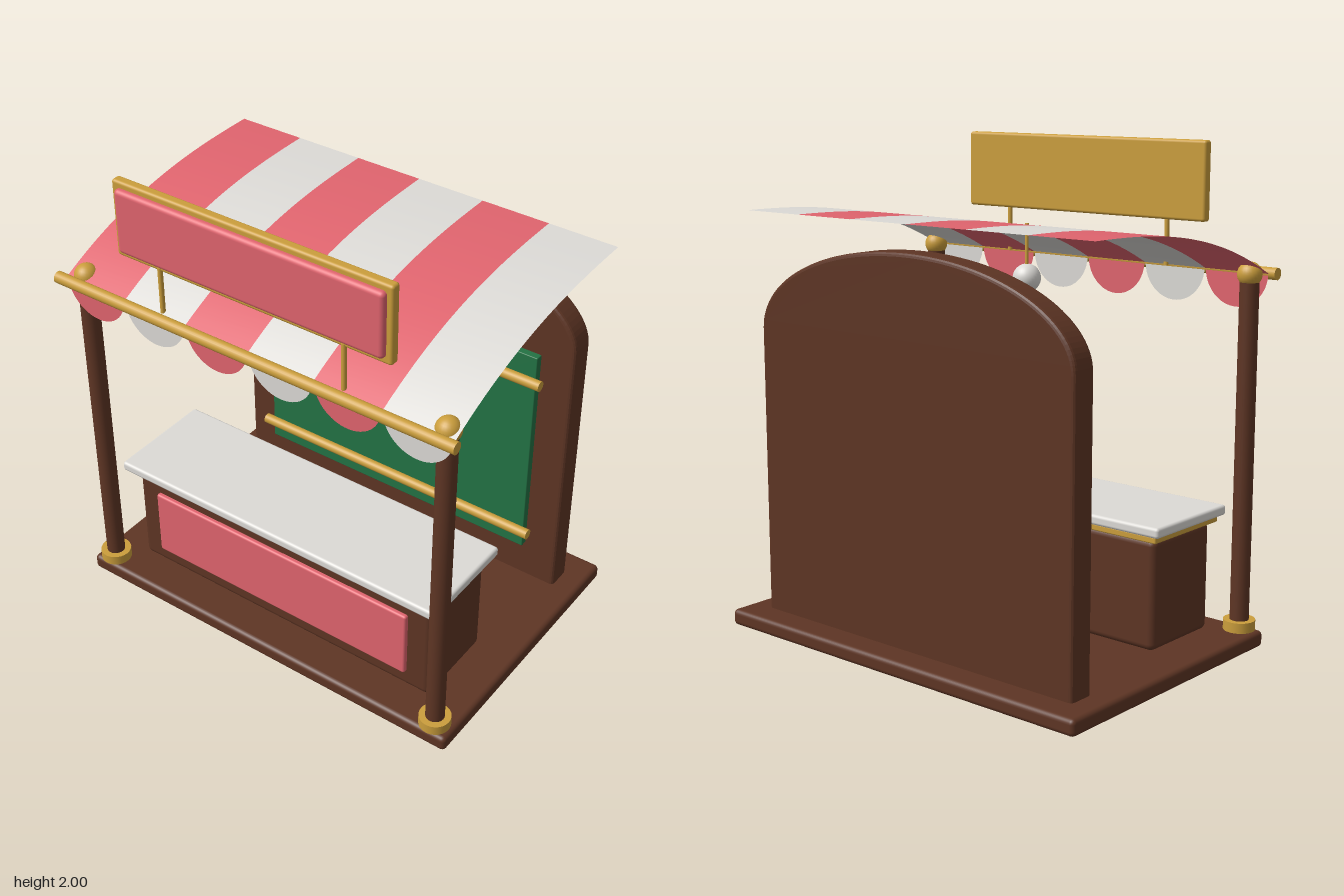
import * as THREE from 'three';
import { RoundedBoxGeometry } from 'three/addons/geometries/RoundedBoxGeometry.js';

const material = (name, color, side = THREE.FrontSide) => {
  const m = new THREE.MeshStandardMaterial({ color, side });
  m.name = name;
  return m;
};

export function createModel() {
  const wood = material('brown wood', 0x5e3524);
  const gold = material('gold', 0xcb9e3c);
  const pink = material('pink', 0xe0646e);
  const white = material('off white', 0xdcdad6);
  const green = material('green', 0x237244);
  const pinkCloth = material('pink cloth', 0xe0646e, THREE.DoubleSide);
  const whiteCloth = material('white cloth', 0xdcdad6, THREE.DoubleSide);

  const model = new THREE.Group();
  model.name = 'marketStall';

  const add = (name, geometry, mat, x = 0, y = 0, z = 0) => {
    const mesh = new THREE.Mesh(geometry, mat);
    mesh.name = name;
    mesh.position.set(x, y, z);
    model.add(mesh);
    return mesh;
  };
  // rounded box given by half width and its y and z limits
  const box = (name, mat, hx, y0, y1, z0, z1, r) =>
    add(name, new RoundedBoxGeometry(hx * 2, y1 - y0, z1 - z0, 3, r), mat, 0, (y0 + y1) / 2, (z0 + z1) / 2);
  const upright = (name, mat, r, x, y0, y1, z) =>
    add(name, new THREE.CylinderGeometry(r, r, y1 - y0, 24), mat, x, (y0 + y1) / 2, z);
  const rail = (name, r, hx, y, z) => {
    add(name, new THREE.CylinderGeometry(r, r, hx * 2, 24), gold, 0, y, z).rotation.z = Math.PI / 2;
  };

  // floor
  box('floor', wood, 0.9, 0.005, 0.072, -0.63, 0.592, 0.02);

  // back wall with an arched top
  const bevel = 0.016, w = 0.8 - bevel;
  const outline = new THREE.Shape();
  outline.moveTo(-w, 0.07);
  outline.lineTo(w, 0.07);
  outline.lineTo(w, 1.25);
  outline.absellipse(0, 1.25, w, 0.36 - bevel, 0, Math.PI, false);
  outline.lineTo(-w, 0.07);
  add('backWall', new THREE.ExtrudeGeometry(outline, {
    depth: 0.112 - 2 * bevel, bevelEnabled: true, bevelSize: bevel, bevelThickness: bevel,
    bevelSegments: 3, curveSegments: 32,
  }), wood, 0, 0, -0.513 + bevel);

  // green board and its rails
  box('backBoard', green, 0.655, 0.24, 1.2, -0.41, -0.37, 0.004);
  rail('upperBoardRail', 0.022, 0.685, 1.088, -0.357);
  rail('lowerBoardRail', 0.022, 0.685, 0.328, -0.357);

  // counter
  box('counterBody', wood, 0.73, 0.08, 0.525, 0.07, 0.445, 0.028);
  box('counterPanel', pink, 0.625, 0.16, 0.46, 0.42, 0.464, 0.01);
  box('counterTrim', gold, 0.75, 0.52, 0.547, 0.048, 0.467, 0.006);
  box('counterTop', white, 0.77, 0.545, 0.587, 0.034, 0.498, 0.013);

  // front posts
  for (const x of [-0.82, 0.82]) {
    upright('frontPost', wood, 0.038, x, 0.06, 1.48, 0.536);
    upright('postCollar', gold, 0.064, x, 0.075, 0.117, 0.536);
    add('postBall', new THREE.SphereGeometry(0.049, 24, 16), gold, x, 1.5, 0.536);
  }
  rail('awningRail', 0.024, 0.9, 1.5, 0.608);

  // curved striped awning with a scalloped edge
  const stripes = 6, stripeWidth = 1.75 / stripes, zBack = -0.505, depth = 1.09;
  for (let i = 0; i < stripes; i++) {
    const cloth = i % 2 ? whiteCloth : pinkCloth;
    const x = -0.875 + stripeWidth * (i + 0.5);
    const sheet = new THREE.PlaneGeometry(stripeWidth, 1, 1, 24);
    const p = sheet.attributes.position;
    for (let k = 0; k < p.count; k++) {
      const t = 0.5 - p.getY(k);
      p.setXYZ(k, p.getX(k), 1.5 + 0.215 * (1 - t ** 2.6), zBack + depth * t);
    }
    sheet.computeVertexNormals();
    add('awningStripe', sheet, cloth, x);
    add('awningScallop', new THREE.CircleGeometry(0.143, 32, Math.PI, Math.PI), cloth, x, 1.503, zBack + depth);
  }

  // sign board on two rods
  box('signFrame', gold, 0.61, 1.685, 2.0, 0.529, 0.571, 0.012);
  box('signPanel', pink, 0.586, 1.711, 1.975, 0.55, 0.594, 0.018);
  for (const x of [-0.41, 0.41]) upright('signRod', gold, 0.01, x, 1.5, 1.7, 0.565);

  // hanging lamp
  upright('lampRod', gold, 0.007, 0, 1.48, 1.668, 0.187);
  add('lampGlobe', new THREE.SphereGeometry(0.057, 28, 20), white, 0, 1.45, 0.187);

  return model;
}
